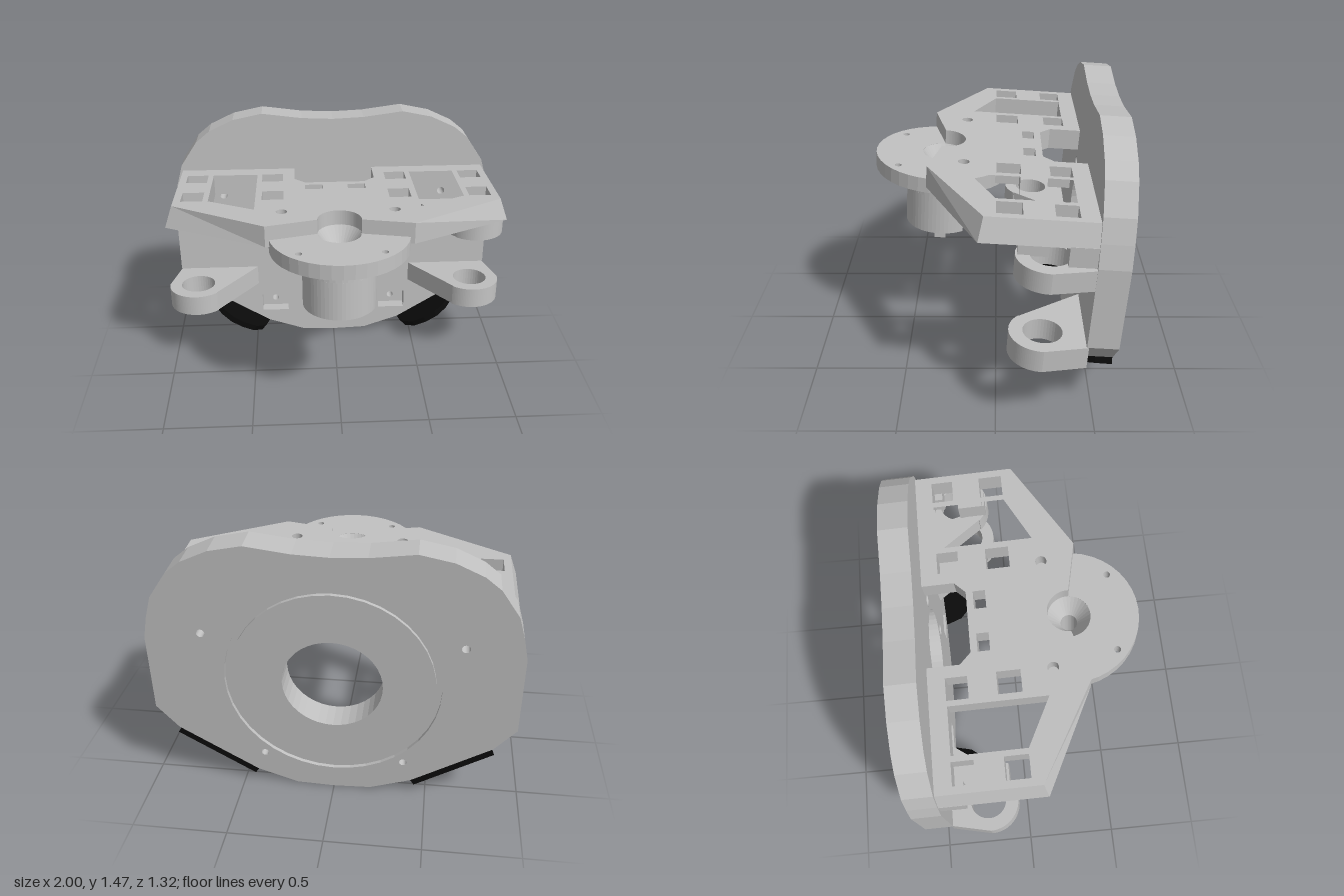
import * as THREE from 'three';

const grey = new THREE.MeshStandardMaterial({ color: 0xc0c0c0 });
grey.name = 'light grey';
const black = new THREE.MeshStandardMaterial({ color: 0x0a0a0a });
black.name = 'black';

const poly = (pts, Type = THREE.Shape) => new Type(pts.map(([x, y]) => new THREE.Vector2(x, y)));
const circle = (x, y, r, Type = THREE.Path) => new Type().absarc(x, y, r, 0, Math.PI * 2, false);
const rect = (x, y, w, h) => poly([[x - w / 2, y - h / 2], [x + w / 2, y - h / 2],
  [x + w / 2, y + h / 2], [x - w / 2, y + h / 2]], THREE.Path);
const both = (fn) => [1, -1].flatMap((s) => fn(s));

function extrude(shape, holes, depth) {
  shape.holes = holes;
  return new THREE.ExtrudeGeometry(shape, { depth, bevelEnabled: false, curveSegments: 20 });
}
// upright slab between z0 and z1
const slab = (shape, holes, z0, z1) => extrude(shape, holes, z1 - z0).translate(0, 0, z0);
// lying slab between y0 and y1; shape coordinates are (x, -z)
const lying = (shape, holes, y0, y1) =>
  extrude(shape, holes, y1 - y0).rotateX(-Math.PI / 2).translate(0, y0, 0);

export function createModel() {
  const model = new THREE.Group();
  model.name = 'mountingBracket';
  const add = (name, geo, mat = grey) => {
    const mesh = new THREE.Mesh(geo, mat);
    mesh.name = name;
    model.add(mesh);
    return mesh;
  };

  // Back plate in three layers, so pockets and the ring groove have floors
  const half = [[0.2, 0.05], [0.42, 0.125], [0.84, 0.385], [0.955, 0.52], [0.955, 0.96], [0.93, 1.08],
    [0.895, 1.2], [0.8, 1.34], [0.72, 1.405], [0.58, 1.47], [0.41, 1.505], [0.18, 1.475]];
  const outline = () => poly([[0, 0.042], ...half, [0, 1.467],
    ...half.slice().reverse().map(([x, y]) => [-x, y])]);
  const cy = 0.735;
  const screws = () => both((s) => [circle(s * 0.375, 0.25, 0.02), circle(s * 0.66, 1.005, 0.022)]);
  add('plateFront', slab(outline(), [circle(0, cy, 0.26), ...both((s) => [
    rect(s * 0.375, 0.255, 0.165, 0.115), circle(s * 0.66, 1.005, 0.022),
    circle(s * 0.235, cy + 0.235, 0.037), circle(s * 0.235, cy - 0.235, 0.037),
  ])], -0.48, -0.409));
  add('plateCore', slab(outline(), [circle(0, cy, 0.26), ...screws()], -0.545, -0.48));
  add('plateBack', slab(outline(), [circle(0, cy, 0.56), ...screws()], -0.565, -0.545));
  add('backRing', slab(circle(0, cy, 0.53, THREE.Shape), [circle(0, cy, 0.26)], -0.565, -0.545));

  // Top deck with windows and a round notch at the front
  const deck = poly([[-0.385, -0.425], [-0.89, -0.13], [-0.89, 0.41], [-0.23, 0.41], [-0.23, 0.235],
    [-0.17, 0.175], [0.17, 0.175], [0.23, 0.235], [0.23, 0.41], [0.89, 0.41], [0.89, -0.13],
    [0.385, -0.425]]);
  deck.lineTo(0.115, -0.365);
  deck.absarc(0, -0.355, 0.115, 0, Math.PI, false);
  const deckGeo = lying(deck, both((s) => [
    rect(s * 0.355, 0.26, 0.12, 0.115), rect(s * 0.35, -0.01, 0.12, 0.125),
    rect(s * 0.79, 0.26, 0.12, 0.115), rect(s * 0.79, -0.01, 0.12, 0.125),
    rect(s * 0.12, 0.105, 0.1, 0.065), circle(s * 0.3, -0.24, 0.03),
    poly([[s * 0.445, 0.315], [s * 0.7, 0.315], [s * 0.7, -0.075], [s * 0.445, -0.205]], THREE.Path),
  ]), 1.05, 1.167);
  // flare the lower outer edge
  const p = deckGeo.attributes.position;
  for (let i = 0; i < p.count; i++) {
    if (p.getY(i) < 1.1 && Math.abs(p.getX(i)) > 0.87) {
      p.setX(i, p.getX(i) * 1.045);
      if (p.getZ(i) > 0) p.setZ(i, p.getZ(i) + 0.02);
    }
  }
  deckGeo.computeVertexNormals();
  add('deck', deckGeo);

  // Posts under the deck
  for (const s of [1, -1]) {
    add('deckPost', new THREE.BoxGeometry(0.1, 0.11, 0.15).translate(s * 0.79, 1.0, -0.115));
    add('deckRearPost', new THREE.BoxGeometry(0.12, 0.11, 0.135).translate(s * 0.87, 1.0, -0.342));
  }

  // Side ears with bored round ends
  const ear = (name, s, y0, y1) => {
    const shape = poly([[s * 0.47, 0.42], [s * 0.71, 0.085]]);
    const start = Math.atan2(-0.115, -0.12 * s);
    shape.absarc(s * 0.83, 0.2, 0.17, start, s > 0 ? 0 : -Math.PI, s < 0);
    shape.lineTo(s * 0.95, 0.42);
    add(name, lying(shape, [circle(s * 0.83, 0.2, 0.1)], y0, y1));
  };
  ear('lowerLeftEar', 1, 0.395, 0.515);
  ear('lowerRightEar', -1, 0.395, 0.515);
  ear('upperLeftEar', 1, 0.84, 0.95);

  // Round housing: flange, body, flat-cut lower body and funnel
  const hz = 0.355;
  const bore = () => circle(0, -hz, 0.115);
  add('flange', lying(circle(0, -hz, 0.37, THREE.Shape),
    [bore(), circle(0.215, -0.585, 0.018), circle(-0.215, -0.585, 0.018)], 1.007, 1.087));
  add('housingTop', lying(circle(0, -hz, 0.2, THREE.Shape), [bore()], 0.9, 1.007));
  const cut = new THREE.Shape().absarc(0, -hz, 0.2, Math.PI - 0.675, Math.PI * 2 + 0.675, false);
  add('housingBottom', lying(cut, [bore()], 0.68, 0.9));
  const profile = [[0.045, 0.68], [0.118, 0.68], [0.118, 1.086], [0.115, 1.086], [0.045, 0.99], [0.045, 0.68]];
  const funnel = new THREE.LatheGeometry(profile.map(([r, y]) => new THREE.Vector2(r, y)), 32).toNonIndexed();
  funnel.computeVertexNormals();
  add('funnel', funnel.translate(0, 0, hz));
  for (const s of [1, -1]) {
    add('pin', new THREE.BoxGeometry(0.05, 0.06, 0.06).translate(s * 0.12, 0.655, hz));
  }
  for (let i = 0; i < 4; i++) {
    add('terminalRib', new THREE.BoxGeometry(0.04, 0.06, 0.05).translate(-0.09 + i * 0.06, 0.87, 0.225));
  }

  // Black tongues along the lower slanted edges
  const tongue = [[0, -0.565], [0, -0.4], [0.03, -0.31], [0.09, -0.25], [0.17, -0.225], [0.25, -0.225],
    [0.32, -0.26], [0.41, -0.36], [0.47, -0.48], [0.485, -0.565]];
  for (const s of [1, -1]) {
    const geo = lying(poly(tongue.map(([d, z]) => [s * d, -z])), [], -0.034, 0.002);
    geo.rotateZ(s * Math.atan2(0.26, 0.42)).translate(s * 0.42, 0.123, 0);
    add('edgeTongue', geo, black);
  }

  // Whole bracket leans slightly back
  model.rotation.x = -0.065;
  const root = new THREE.Group();
  root.name = 'bracket';
  root.add(model);
  return root;
}
